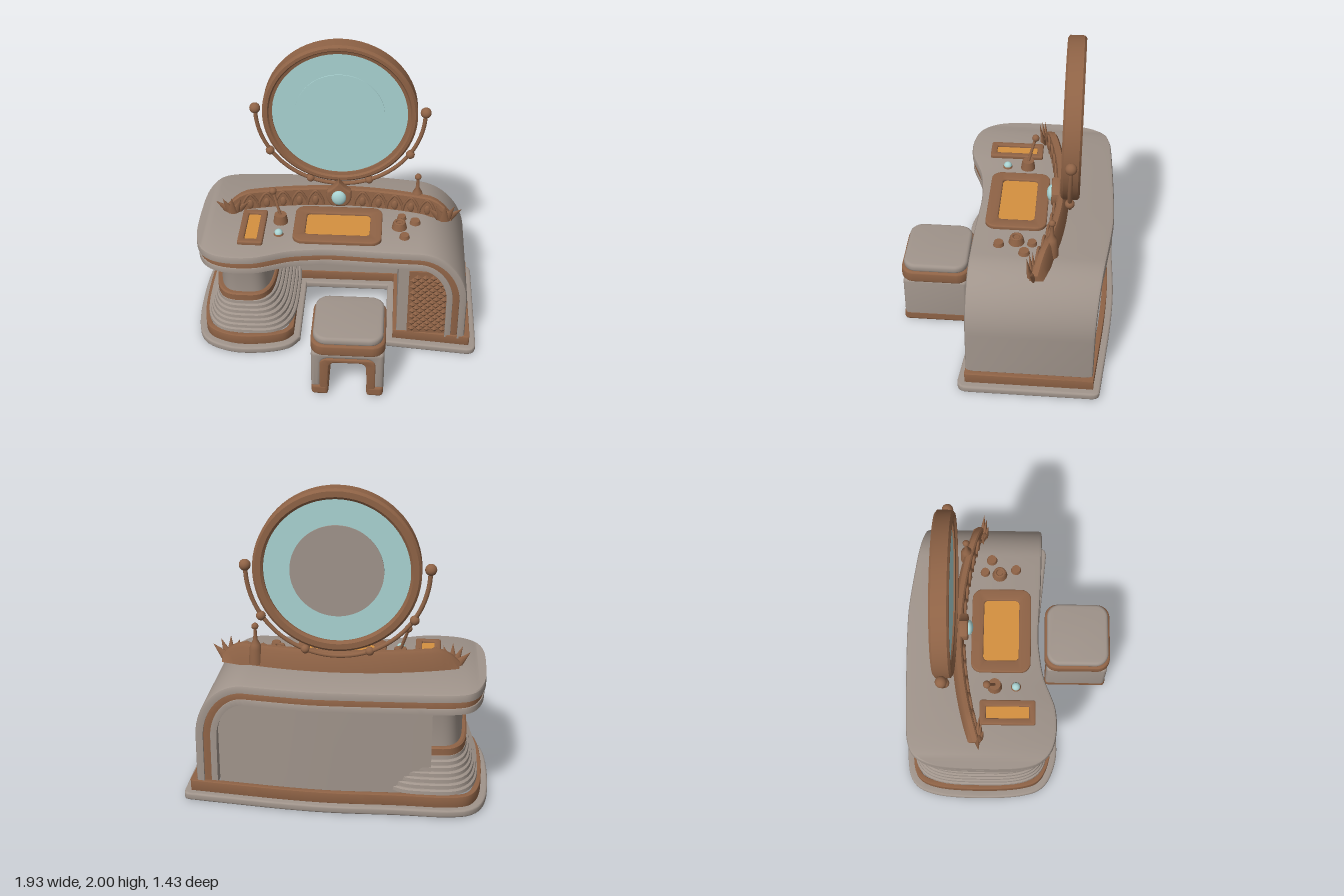
import * as THREE from 'three';
import { toCreasedNormals, mergeGeometries } from 'three/addons/utils/BufferGeometryUtils.js';
import { RoundedBoxGeometry } from 'three/addons/geometries/RoundedBoxGeometry.js';

const V2 = (x, y) => new THREE.Vector2(x, y);
const V3 = (x, y, z) => new THREE.Vector3(x, y, z);
const paint = (name, color) => Object.assign(new THREE.MeshStandardMaterial({ color, side: THREE.DoubleSide }), { name });

// Skin closed cross-sections, each a list of Vector3
function loft(sections, caps = true, crease = 0.6) {
  const n = sections[0].length, pos = [], idx = [];
  sections.forEach(s => s.forEach(p => pos.push(p.x, p.y, p.z)));
  for (let i = 0; i < sections.length - 1; i++) for (let j = 0; j < n; j++) {
    const a = i * n + j, b = i * n + (j + 1) % n;
    idx.push(a, b, a + n, b, b + n, a + n);
  }
  if (caps) [0, sections.length - 1].forEach((k, end) => {
    const c = sections[k].reduce((s, p) => s.add(p), V3(0, 0, 0)).divideScalar(n), m = pos.length / 3;
    pos.push(c.x, c.y, c.z);
    for (let j = 0; j < n; j++) {
      const a = k * n + j, b = k * n + (j + 1) % n;
      end ? idx.push(a, b, m) : idx.push(b, a, m);
    }
  });
  const g = new THREE.BufferGeometry();
  g.setAttribute('position', new THREE.Float32BufferAttribute(pos, 3));
  g.setIndex(idx);
  return toCreasedNormals(g, crease);
}

// Shrink a counter-clockwise polygon by d
const inset = (pts, d) => pts.map((p, i) => {
  const dir = (a, b) => b.clone().sub(a).normalize();
  const a = dir(pts[(i + pts.length - 1) % pts.length], p), b = dir(p, pts[(i + 1) % pts.length]);
  const n1 = V2(-a.y, a.x), m = n1.clone().add(V2(-b.y, b.x)).normalize();
  return p.clone().addScaledVector(m, d / Math.max(0.4, m.dot(n1)));
});

// Horizontal plate from a plan outline drawn in (x, -z)
function plate(shape, y, h, bevel = 0) {
  const g = new THREE.ExtrudeGeometry(shape, { depth: h - 2 * bevel, bevelEnabled: bevel > 0, bevelSize: bevel,
    bevelThickness: bevel, bevelOffset: -bevel, bevelSegments: 3, curveSegments: 10 });
  return toCreasedNormals(g.rotateX(-Math.PI / 2).translate(0, y + bevel, 0), 0.6);
}

function roundRect(x0, y0, x1, y1, r, S = THREE.Shape) {
  const s = new S(), h = Math.PI / 2;
  s.absarc(x1 - r, y1 - r, r, 0, h); s.absarc(x0 + r, y1 - r, r, h, 2 * h);
  s.absarc(x0 + r, y0 + r, r, 2 * h, 3 * h); s.absarc(x1 - r, y0 + r, r, 3 * h, 4 * h);
  s.closePath();
  return s;
}

// Look up a smooth curve y(x) given by a few points
function curveFn(list) {
  const pts = new THREE.SplineCurve(list.map(p => V2(...p))).getPoints(300);
  return x => {
    let i = 1;
    while (i < pts.length - 1 && pts[i].x < x) i++;
    const a = pts[i - 1], b = pts[i];
    return a.y + (b.y - a.y) * THREE.MathUtils.clamp((x - a.x) / (b.x - a.x || 1), 0, 1);
  };
}

export function createModel() {
  const root = new THREE.Group();
  const grey = paint('warm grey', 0xa0948b), brown = paint('bronze brown', 0x8f6346);
  const glass = paint('pale aqua', 0xa9d3d2), amber = paint('amber', 0xd4903f);
  const add = (name, geo, mat, x = 0, y = 0, z = 0, parent = root) => {
    const m = new THREE.Mesh(geo, mat);
    m.name = name; m.position.set(x, y, z); parent.add(m);
    return m;
  };

  // Desk top that bends down into the side: three stacked layers
  const front = curveFn([[-.93, -.1], [-.925, .05], [-.9, .17], [-.85, .25], [-.77, .3], [-.65, .32], [-.52, .31], [-.42, .275],
    [-.3, .23], [-.15, .205], [0, .195], [.35, .21], [.9, .22]]);
  const back = curveFn([[-.93, -.1], [-.925, -.35], [-.9, -.5], [-.85, -.6], [-.77, -.645], [-.6, -.665], [0, -.685], [.3, -.67], [.9, -.59]]);
  function layer(d0, d1, ins, r) {
    const path = [];
    for (let i = 0; i <= 44; i++) path.push([-.93 + ins + (1.48 - ins) * (i / 44) ** 2, .81, 0, 1]);
    for (let i = 1; i <= 20; i++) {
      const t = Math.PI / 2 * (1 - i / 20), n = V2(Math.cos(t) / .33, Math.sin(t) / .39).normalize();
      path.push([.55 + .33 * Math.cos(t), .42 + .39 * Math.sin(t), n.x, n.y]);
    }
    path.push([.883, .1, 1, 0]);
    return loft(path.map(([x, y, nx, ny]) => {
      const lx = x < 0 ? x - ins : x;
      const f = Math.max(front(lx) - ins, -.1), b = Math.min(back(lx) + ins, -.1), q = Math.min(r, (f - b) / 2);
      return [[f, d1], [f, d0 + r], [f - .3 * q, d0 + .3 * r], [f - q, d0], [b + q, d0], [b + .3 * q, d0 + .3 * r], [b, d0 + r], [b, d1]]
        .map(([z, d]) => V3(x - nx * d, y - ny * d, z));
    }));
  }
  add('deskTop', layer(0, .05, 0, .02), grey);
  add('deskTopStripe', layer(.05, .095, .013, .004), brown);
  add('deskTopLowerLayer', layer(.095, .135, .008, .004), grey);

  // U-shaped hollow base and plinth
  const u = new THREE.Shape();
  u.moveTo(.92, .64);
  u.splineThru([[.6, .675], [.3, .705], [0, .72], [-.4, .71], [-.7, .71], [-.87, .66], [-.95, .5], [-.97, .2], [-.95, -.1],
    [-.88, -.26], [-.7, -.34], [-.5, -.34], [-.32, -.29], [-.24, -.2]].map(p => V2(...p)));
  u.lineTo(-.24, .38); u.lineTo(.35, .38); u.lineTo(.35, -.22); u.lineTo(.9, -.27);
  u.quadraticCurveTo(.965, -.27, .965, -.2); u.lineTo(.965, .58); u.quadraticCurveTo(.965, .64, .92, .64);
  const plan = u.getPoints(5).filter((p, i, a) => p.distanceTo(a[(i + 1) % a.length]) > 1e-3);
  const ring = (d0, d1) => {
    const s = new THREE.Shape(inset(plan, d0));
    s.holes.push(new THREE.Path(inset(plan, d1).reverse()));
    return s;
  };
  add('basePlate', plate(ring(0, .085), 0, .048, .012), grey);
  add('plinth', plate(ring(.045, .08), .045, .075, .004), brown);

  // Hollow body: right cabinet and back wall
  const wall = [[.74, .18], [.42, .18], [.42, -.43], [-.6, -.43], [-.6, -.6], [0, -.62], [.3, -.605], [.74, -.545]];
  add('cabinetWalls', loft([.05, .69].map(y => wall.map(([x, z]) => V3(x, y, z))), false), grey);
  add('backWallLining', new THREE.BoxGeometry(.84, .6, .008), brown, 0, .36, -.437);

  // Quilted front panel of the cabinet
  const p = new THREE.Shape([V2(.49, .12), V2(.765, .12)]);
  p.lineTo(.765, .44); p.quadraticCurveTo(.765, .645, .6, .645); p.lineTo(.49, .645); p.closePath();
  add('cabinetPanel', new THREE.ExtrudeGeometry(p, { depth: .014, bevelEnabled: false }), brown, 0, 0, .178);
  const studs = [];
  for (let i = 0; i < 9; i++) for (let j = 0; j < 18; j++) {
    const x = .522 + i * .026, y = .155 + j * .026;
    if ((i + j) % 2 || (x > .6 && y > .48 && Math.hypot(x - .6, y - .48) > .14)) continue;
    studs.push(new THREE.ConeGeometry(.026, .014, 4).toNonIndexed().rotateX(Math.PI / 2).translate(x, y, .199));
  }
  const quilt = mergeGeometries(studs);
  quilt.computeVertexNormals();
  add('panelQuilting', quilt, brown);

  // Left pedestal: column, collar and ribbed skirt
  const oval = ([y, xl, xr, zf, zb]) => Array.from({ length: 56 }, (_, i) => {
    const a = -i / 56 * Math.PI * 2, pw = v => Math.sign(v) * Math.abs(v) ** .6;
    return V3((xl + xr) / 2 + (xr - xl) / 2 * pw(Math.cos(a)), y, (zf + zb) / 2 + (zf - zb) / 2 * pw(Math.sin(a)));
  });
  add('pedestalColumn', loft([[.4, -.79, -.43, .18, -.55], [.62, -.79, -.43, .18, -.55], [.655, -.8, -.42, .19, -.56],
    [.685, -.83, -.39, .22, -.59]].map(oval), false), grey);
  add('pedestalCollar', loft([[.36, -.82, -.41, .21, -.575], [.405, -.82, -.41, .21, -.575], [.413, -.81, -.42, .2, -.565],
    [.413, -.79, -.43, .18, -.55]].map(oval), false), brown);
  const ribs = [];
  for (let i = 0; i < 7; i++) {
    const k = i / 6, y = .12 + .035 * i, at = (yy, e) =>
      [yy, -.9 + .075 * k - e, -.27 - .12 * k + e, .275 - .06 * k + e, -.655 + .075 * k - e];
    ribs.push(at(y, -.012), at(y + .006, 0), at(y + .028, -.002), at(y + .035, -.014));
  }
  add('pedestalRibs', loft(ribs.map(oval), false, .4), grey);

  // Stool
  const stool = new THREE.Group();
  stool.name = 'stool'; stool.position.set(.11, 0, .48); root.add(stool);
  const arch = (xo, xi, y0, y1, yi, r) => {
    const s = new THREE.Shape([V2(-xi - .01, y0), V2(-xo, y0)]);
    s.lineTo(-xo, y1 - r); s.quadraticCurveTo(-xo, y1, -xo + r, y1); s.lineTo(xo - r, y1);
    s.quadraticCurveTo(xo, y1, xo, y1 - r); s.lineTo(xo, y0); s.lineTo(xi + .01, y0);
    s.lineTo(xi, yi - .05); s.quadraticCurveTo(xi, yi, xi - .05, yi); s.lineTo(-xi + .05, yi);
    s.quadraticCurveTo(-xi, yi, -xi, yi - .05); s.closePath();
    return s;
  };
  const extrudeZ = (s, depth, b) => toCreasedNormals(new THREE.ExtrudeGeometry(s, { depth: depth - 2 * b, bevelEnabled: true, bevelSize: b,
    bevelThickness: b, bevelOffset: -b, bevelSegments: 3 }).translate(0, 0, b - depth / 2), .6);
  add('stoolBody', extrudeZ(arch(.235, .165, .07, .37, .31, .03), .43, .025), grey, 0, 0, 0, stool);
  add('stoolArchLining', extrudeZ(arch(.18, .12, .01, .315, .285, .05), .436, .008), brown, 0, 0, 0, stool);
  for (const s of [-1, 1]) add('stoolFoot', new RoundedBoxGeometry(.11, .085, .44, 3, .025), brown, s * .178, .0425, 0, stool);
  add('stoolBand', plate(roundRect(-.24, -.23, .24, .23, .09), .355, .085, .015), brown, 0, 0, 0, stool);
  add('stoolCushion', plate(roundRect(-.225, -.215, .225, .215, .09), .43, .058, .02), grey, 0, 0, 0, stool);

  // Round mirror in its swing frame
  const mirror = new THREE.Group();
  mirror.name = 'mirror'; mirror.position.set(0, 1.49, -.395); root.add(mirror);
  const rim = new THREE.LatheGeometry([[.445, -.045], [.46, -.058], [.495, -.058], [.51, -.045], [.51, .045], [.495, .058], [.475, .058],
    [.465, .045], [.445, .04], [.445, -.045]].map(q => V2(...q)), 72);
  add('mirrorFrame', toCreasedNormals(rim.rotateX(Math.PI / 2), .5), brown, 0, 0, 0, mirror);
  const disc = (r, h) => new THREE.CylinderGeometry(r, r, h, 64).rotateX(Math.PI / 2);
  add('mirrorGlass', disc(.45, .06), glass, 0, 0, 0, mirror);
  add('mirrorGlassCentre', disc(.295, .006), glass, 0, 0, .033, mirror);
  add('mirrorBackDisc', disc(.285, .008), grey, 0, 0, -.034, mirror);
  add('mirrorYoke', new THREE.TorusGeometry(.56, .014, 8, 64, Math.PI).rotateZ(Math.PI), brown, 0, 0, 0, mirror);
  for (const s of [-1, 1]) for (const [x, y, r] of [[.562, .015, .036], [.472, -.31, .03], [.2, -.522, .028]])
    add('yokeBall', new THREE.SphereGeometry(r, 20, 14), brown, s * x, y, 0, mirror);

  // Curved crest behind the controls
  const crestZ = x => -.3 + .22 * x * x;
  const crest = [];
  for (let i = 0; i <= 32; i++) {
    const x = -.76 + 1.52 * i / 32, z = crestZ(x), h = .94 - .1 * Math.max(0, (Math.abs(x) - .6) / .16) ** 2;
    crest.push([[z, .8], [z - .01, h - .01], [z - .02, h], [z - .05, h], [z - .065, h - .02], [z - .085, .8]].map(([zz, y]) => V3(x, y, zz)));
  }
  add('crest', loft(crest), brown);
  for (const s of [-1, 1]) {
    for (let k = 0; k < 5; k++) {
      const c = .16 + k * .11, at = (dx, y) => V3(s * (c + dx), y, crestZ(c + dx) + .002);
      const curve = new THREE.CatmullRomCurve3([at(-.055, .82), at(-.045, .87), at(0, .93), at(.045, .87), at(.055, .82)]);
      add('crestArch', new THREE.TubeGeometry(curve, 20, .009, 6), brown);
      add('crestLeaf', new THREE.SphereGeometry(1, 12, 8).scale(.022, .036, .012), brown, s * c, .85, crestZ(c));
    }
    // Petals fanned out at each end
    for (let k = -2; k <= 2; k++) {
      const petal = new THREE.ConeGeometry(.034, .14 - .012 * Math.abs(k), 10).scale(1, 1, .5).translate(0, .06, 0);
      const m = add('endPetal', petal, brown, s * .715 + k * .014, .815, crestZ(.72) + .015 - .012 * Math.abs(k));
      m.rotation.set(.15, 0, -k * .4);
    }
  }

  // Jewel with its pointed setting
  const leaf = new THREE.Shape();
  leaf.moveTo(0, 1.02); leaf.quadraticCurveTo(.03, .97, .08, .94); leaf.quadraticCurveTo(.1, .86, .04, .82);
  leaf.lineTo(-.04, .82); leaf.quadraticCurveTo(-.1, .86, -.08, .94); leaf.quadraticCurveTo(-.03, .97, 0, 1.02);
  add('jewelSetting', extrudeZ(leaf, .06, .012), brown, 0, 0, -.3);
  add('jewel', new THREE.SphereGeometry(1, 24, 16).scale(.05, .055, .03), glass, 0, .895, -.268);

  // Framed trays
  const tray = (name, x0, z0, x1, z1, w, r) => {
    const s = roundRect(x0, -z1, x1, -z0, r);
    s.holes.push(roundRect(x0 + w, -z1 + w, x1 - w, -z0 - w, r * .4, THREE.Path));
    add(name + 'Frame', plate(s, .8, .035, .008), brown);
    add(name + 'Inlay', new THREE.BoxGeometry(x1 - x0 - 2 * w + .02, .008, z1 - z0 - 2 * w + .02), amber, (x0 + x1) / 2, .816, (z0 + z1) / 2);
  };
  tray('centreTray', -.285, -.25, .3, .145, .08, .07);
  tray('sideTray', -.64, -.185, -.475, .18, .042, .015);

  // Lever, buttons, knobs and finial
  const knob = (name, x, z, r, h) => add(name, new THREE.CylinderGeometry(r * .8, r, h, 24), brown, x, .805 + h / 2, z);
  knob('leverBase', -.38, -.09, .05, .065);
  add('lever', new THREE.TubeGeometry(new THREE.LineCurve3(V3(-.38, .86, -.09), V3(-.43, 1.02, -.135)), 1, .01, 8), brown);
  add('leverBall', new THREE.SphereGeometry(.025, 16, 12), brown, -.43, 1.025, -.137);
  knob('buttonSeat', -.38, .05, .035, .016);
  add('button', new THREE.SphereGeometry(.028, 16, 12), glass, -.38, .82, .05);
  knob('largeKnob', .415, -.07, .052, .045);
  add('largeKnobRing', new THREE.TorusGeometry(.03, .01, 8, 24).rotateX(Math.PI / 2), brown, .415, .85, -.07);
  for (const [x, z, r] of [[.43, -.17, .033], [.52, -.125, .038], [.45, .04, .036]]) knob('smallKnob', x, z, r, .03);
  add('finial', new THREE.LatheGeometry([[.045, .82], [.04, .92], [.03, .95], [.014, .98], [.01, 1.05], [.02, 1.058], [.023, 1.073],
    [.014, 1.087], [0, 1.09]].map(q => V2(...q)), 20), brown, .53, 0, -.295);
  return root;
}
